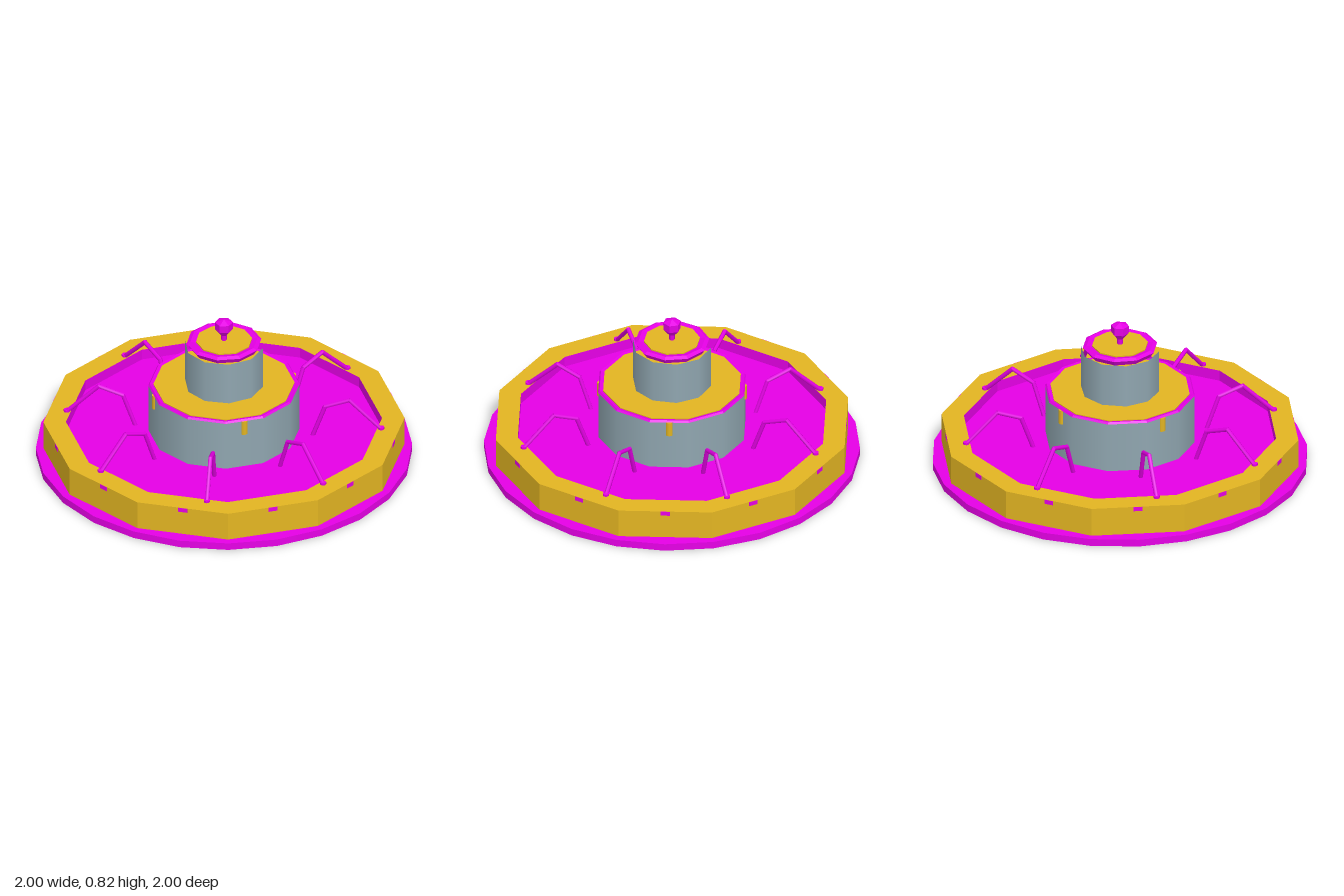
import * as THREE from 'three';

export function createModel() {
  const group = new THREE.Group();
  const mat = (name, color) => Object.assign(new THREE.MeshStandardMaterial({ color }), { name });
  const magenta = mat('magenta', 0xe600e6);
  const gold = mat('gold', 0xe3b522);
  const stone = mat('grey stone', 0x90a6b0);

  const add = (name, geometry, material, parent = group) => {
    const mesh = new THREE.Mesh(geometry, material);
    mesh.name = name;
    parent.add(mesh);
    return mesh;
  };
  // Split the faces so each one is shaded flat
  const flat = (geometry) => {
    const g = geometry.toNonIndexed();
    g.computeVertexNormals();
    return g;
  };
  const turned = (points, sides, start = 0) => flat(new THREE.LatheGeometry(
    points.map(([r, y]) => new THREE.Vector2(r, y)), sides, start));
  const drum = (r, y0, y1, sides, start = 0, open = false) => new THREE.CylinderGeometry(
    r, r, y1 - y0, sides, 1, open, start).translate(0, (y0 + y1) / 2, 0);

  // Base and basin
  add('base', drum(1, 0, 0.04, 24), magenta);
  add('basinRim', turned([[0.96, 0.04], [0.96, 0.2], [0.84, 0.2]], 12), gold);
  add('basinLining', turned([[0.84, 0.2], [0.84, 0.14], [0, 0.14]], 12), magenta);

  // Lower tier
  add('lowerDrum', drum(0.4, 0.1, 0.42, 12), stone);
  add('lowerTrim', turned([[0.385, 0.412], [0.403, 0.42], [0.395, 0.43], [0.37, 0.424]], 12), magenta);
  add('lowerTop', flat(drum(0.375, 0.41, 0.43, 12)), gold);

  // Upper tier
  add('upperDrum', drum(0.21, 0.42, 0.67, 10, 0, true), stone);
  add('upperTrim', turned([[0.15, 0.675], [0.18, 0.66], [0.2, 0.69], [0.18, 0.7], [0.145, 0.692]],
    10, Math.PI / 2), magenta);
  add('upperTop', flat(drum(0.15, 0.66, 0.7, 10, Math.PI / 2)), gold);

  // Finial
  add('finialStem', drum(0.015, 0.69, 0.74, 6), magenta);
  add('finialBud', turned([[0, 0.73], [0.02, 0.733], [0.047, 0.765], [0.048, 0.808], [0, 0.825]], 6), magenta);

  // Spouts on the lower drum, mostly sunk into its wall
  for (let i = 0; i < 4; i++) {
    const a = Math.PI / 4 + i * Math.PI / 2;
    const spout = add('spout', drum(0.02, 0.34, 0.42, 8), gold);
    spout.position.set(0.379 * Math.sin(a), 0, 0.379 * Math.cos(a));
  }

  // Bent water pipes, each a chain of straight rods
  const path = [[0.84, 0.2], [0.67, 0.367], [0.54, 0.32], [0.475, 0.14]]
    .map(([r, y]) => new THREE.Vector3(0, y, r));
  const up = new THREE.Vector3(0, 1, 0);
  for (let i = 0; i < 8; i++) {
    const pipe = new THREE.Group();
    pipe.name = 'waterPipe';
    pipe.rotation.y = Math.PI / 8 + i * Math.PI / 4;
    for (let j = 0; j < path.length - 1; j++) {
      const span = path[j + 1].clone().sub(path[j]);
      const rod = add('pipeRod', new THREE.CylinderGeometry(0.012, 0.012, span.length() + 0.008, 6), magenta, pipe);
      rod.position.copy(path[j]).addScaledVector(span, 0.5);
      rod.quaternion.setFromUnitVectors(up, span.normalize());
    }
    add('pipeFoot', drum(0.017, 0.18, 0.212, 8), magenta, pipe).position.z = 0.84;
    group.add(pipe);
  }

  // Small plates under the rim's edge, one in the middle of each side
  for (let i = 0; i < 12; i++) {
    const a = (i + 0.5) * Math.PI / 6;
    const plate = add('rimPlate', new THREE.BoxGeometry(0.05, 0.024, 0.006), magenta);
    plate.position.set(0.926 * Math.sin(a), 0.187, 0.926 * Math.cos(a));
    plate.rotation.y = a;
  }
  return group;
}
